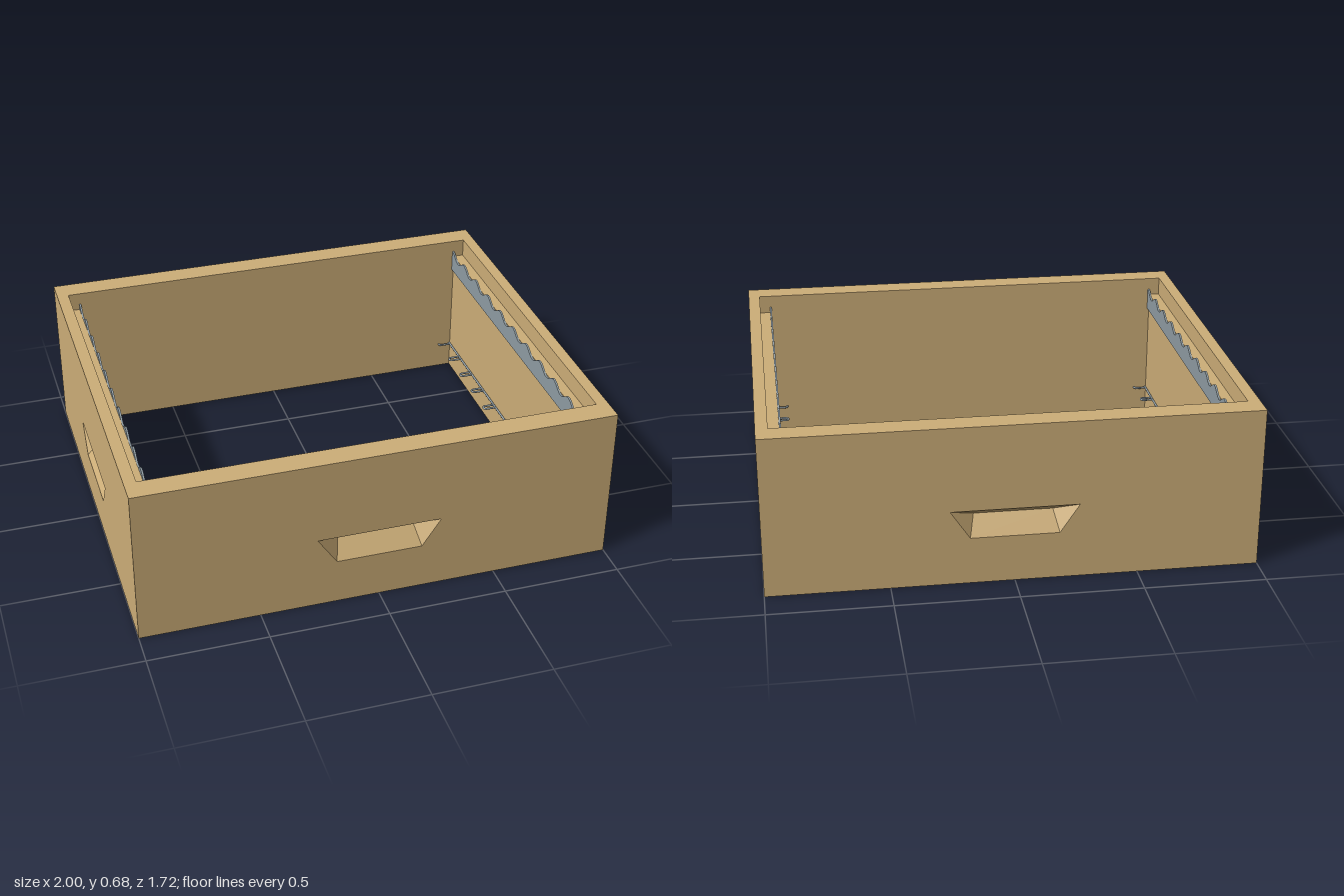
import * as THREE from 'three';
import { mergeGeometries } from 'three/addons/utils/BufferGeometryUtils.js';

const W = 1, D = 0.86, H = 0.68;        // outer half width, half depth, height
const IX = 0.905, IZ = 0.76;            // inner half sizes
const RX = 0.95, LEDGE = 0.6;           // rebate half width and ledge height
const PITCH = 0.152, COUNT = 11;        // spacing of the frame spacers

const wood = new THREE.MeshStandardMaterial({ color: 0xcdae78 });
wood.name = 'wood';
const metal = new THREE.MeshStandardMaterial({ color: 0x8f9ca3 });
metal.name = 'metal';

function add(parent, name, geometry, material) {
  const mesh = new THREE.Mesh(geometry, material);
  mesh.name = name;
  parent.add(mesh);
  return mesh;
}

const poly = (pts) => pts.map(([x, y]) => new THREE.Vector2(x, y));
const rect = (x, y0, y1) => poly([[-x, y0], [x, y0], [x, y1], [-x, y1]]);

function face(outline, hole) {
  const shape = new THREE.Shape(outline);
  if (hole) shape.holes.push(new THREE.Path(hole));
  return new THREE.ShapeGeometry(shape);
}

// Flat faces from corner loops, counter-clockwise seen from outside
function facets(loops) {
  const pos = [];
  for (const l of loops)
    for (let i = 1; i < l.length - 1; i++) pos.push(...l[0], ...l[i], ...l[i + 1]);
  const g = new THREE.BufferGeometry();
  g.setAttribute('position', new THREE.Float32BufferAttribute(pos, 3));
  g.computeVertexNormals();
  return g;
}

// Wall outside with a wedge-shaped hand hold cut into it
function outerWall(half, dist) {
  const g = new THREE.Group();
  const hole = poly([[-0.26, 0.32], [0.26, 0.32], [0.18, 0.2], [-0.18, 0.2]]);
  add(g, 'wallOutside', face(rect(half, 0, H), hole), wood);
  const [A, B, C, E] = hole.map((p) => [p.x, p.y, 0]);
  const L = [-0.16, 0.28, -0.06], R = [0.16, 0.28, -0.06];
  add(g, 'handHold', facets([[E, C, R, L], [L, R, B, A], [A, E, L], [C, B, R]]), wood);
  g.children.forEach((m) => { m.position.z = dist; });
  return g;
}

// Metal strip with rounded teeth that stands up past the ledge
function toothedStrip() {
  const s = new THREE.Shape();
  const low = LEDGE - 0.005, high = 0.627, n = 120;
  s.moveTo(-IZ, 0.53);
  s.lineTo(IZ, 0.53);
  for (let i = 0; i <= n; i++) {
    const z = IZ - (2 * IZ * i) / n;
    const wave = 0.5 + 0.5 * Math.cos((2 * Math.PI * z) / PITCH);
    s.lineTo(z, low + (high - low) * wave);
  }
  return new THREE.ExtrudeGeometry(s, { depth: 0.008, bevelEnabled: false });
}

// Wire rail with U-shaped loops pointing inwards (local +z)
function loopRail() {
  const r = 0.005, parts = [];
  const rail = new THREE.CylinderGeometry(r, r, 2 * IZ, 8);
  rail.rotateZ(Math.PI / 2);
  parts.push(rail);
  const path = new THREE.CurvePath();
  const v = (x, z) => new THREE.Vector3(x, 0, z);
  const arc = [];
  for (let i = 0; i <= 8; i++) {
    const a = (Math.PI * i) / 8;
    arc.push(v(-0.012 * Math.cos(a), 0.043 + 0.012 * Math.sin(a)));
  }
  path.add(new THREE.LineCurve3(v(-0.012, 0), arc[0]));
  path.add(new THREE.CatmullRomCurve3(arc));
  path.add(new THREE.LineCurve3(arc[8], v(0.012, 0)));
  for (let i = 0; i < COUNT; i++) {
    const loop = new THREE.TubeGeometry(path, 28, r, 6);
    loop.translate((i - (COUNT - 1) / 2) * PITCH, 0, 0);
    parts.push(loop);
  }
  return mergeGeometries(parts);
}

export function createModel() {
  const model = new THREE.Group();
  model.name = 'openBox';

  for (let i = 0; i < 4; i++) {
    const wall = i % 2 ? outerWall(D, W) : outerWall(W, D);
    wall.name = ['frontWall', 'leftWall', 'backWall', 'rightWall'][i];
    wall.rotation.y = (i * Math.PI) / 2;
    model.add(wall);
  }

  // Top and bottom rims
  const top = add(model, 'topRim', face(rect(W, -D, D), rect(RX, -IZ, IZ)), wood);
  top.rotation.x = -Math.PI / 2;
  top.position.y = H;
  const bottom = add(model, 'bottomRim', face(rect(W, -D, D), rect(IX, -IZ, IZ)), wood);
  bottom.rotation.x = Math.PI / 2;

  // Inside of the front and back walls, wider above the ledges
  const inside = poly([[-IX, 0], [IX, 0], [IX, LEDGE], [RX, LEDGE],
    [RX, H], [-RX, H], [-RX, LEDGE], [-IX, LEDGE]]);
  for (const s of [1, -1]) {
    const m = add(model, s > 0 ? 'backInside' : 'frontInside', face(inside), wood);
    m.position.z = -s * IZ;
    m.rotation.y = s > 0 ? 0 : Math.PI;
  }

  // Each side: inner wall, ledge, rebate, toothed strip and loop rail
  for (const s of [1, -1]) {
    const side = new THREE.Group();
    side.name = s > 0 ? 'rightInside' : 'leftInside';
    side.rotation.y = (s * Math.PI) / 2;
    add(side, 'innerWall', face(rect(IZ, 0, LEDGE)), wood).position.z = -IX;
    add(side, 'rebateWall', face(rect(IZ, LEDGE, H)), wood).position.z = -RX;
    const ledge = add(side, 'ledge', face(rect(IZ, IX, RX)), wood);
    ledge.rotation.x = -Math.PI / 2;
    ledge.position.y = LEDGE;
    add(side, 'toothedStrip', toothedStrip(), metal).position.z = -IX;
    add(side, 'loopRail', loopRail(), metal).position.set(0, 0.12, -IX + 0.003);
    model.add(side);
  }
  return model;
}
